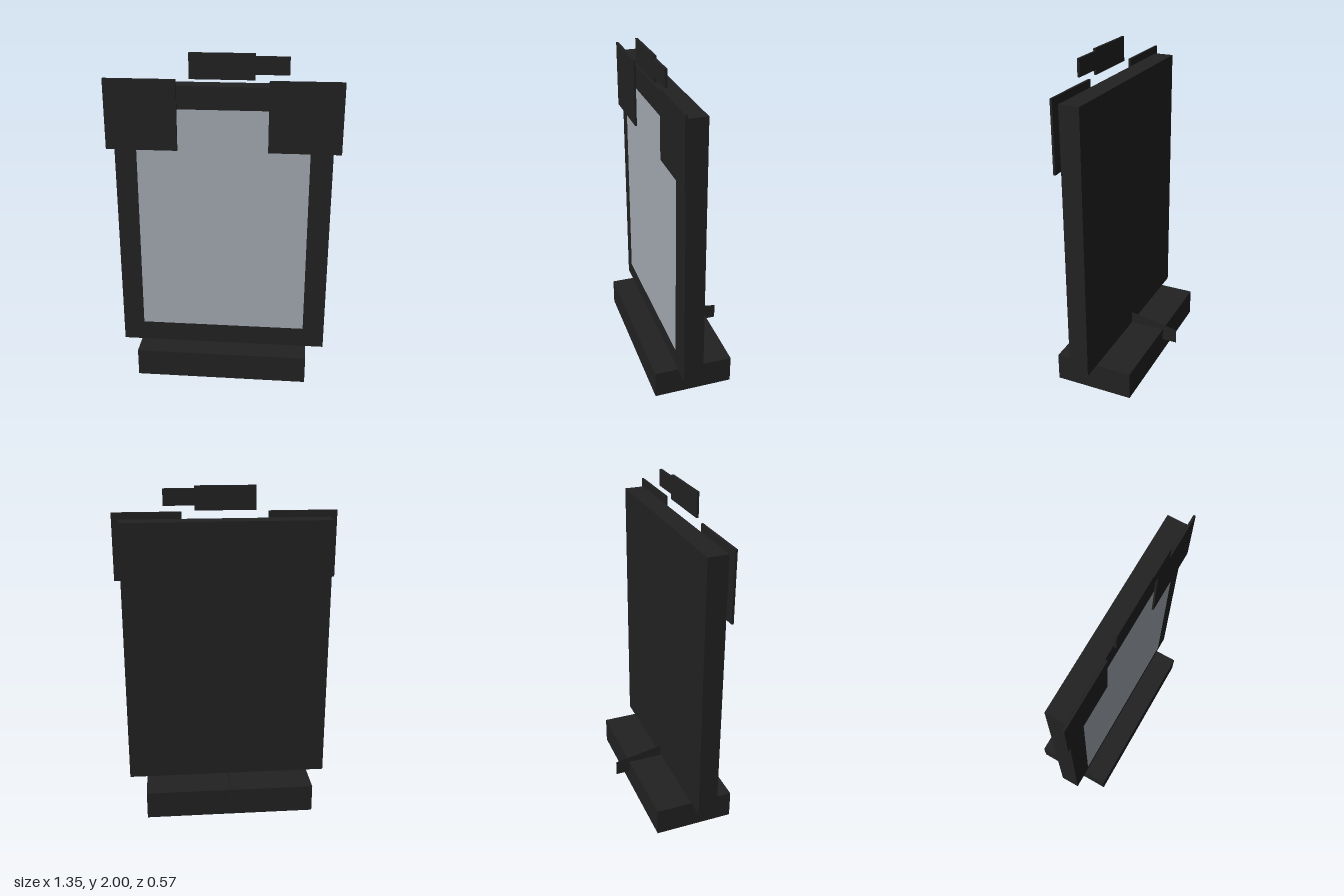
import * as THREE from 'three';

export function createModel() {
  const model = new THREE.Group();
  model.name = 'displayStand';

  const black = new THREE.MeshStandardMaterial({ color: 0x222222 });
  black.name = 'charcoal black';
  const blackSheet = new THREE.MeshStandardMaterial({ color: 0x222222, side: THREE.DoubleSide });
  blackSheet.name = 'charcoal black sheet';
  const grey = new THREE.MeshStandardMaterial({ color: 0xa3aab1, side: THREE.DoubleSide });
  grey.name = 'screen grey';

  const add = (name, geometry, material) => {
    const mesh = new THREE.Mesh(geometry, material);
    mesh.name = name;
    model.add(mesh);
    return mesh;
  };
  // Box given by its limits on each axis
  const block = (name, [x0, x1], [y0, y1], [z0, z1]) =>
    add(name, new THREE.BoxGeometry(x1 - x0, y1 - y0, z1 - z0), black)
      .position.set((x0 + x1) / 2, (y0 + y1) / 2, (z0 + z1) / 2);

  // Foot and upright panel
  block('base', [-0.52, 0.52], [0, 0.17], [-0.195, 0.287]);
  block('panel', [-0.63, 0.63], [0.17, 1.81], [0.024, 0.143]);

  // Screen face, floating just ahead of the panel
  add('screen', new THREE.PlaneGeometry(1.0, 1.38), grey).position.set(0, 0.99, 0.153);

  // Square plates over the two upper corners
  for (const side of [-1, 1]) {
    const xs = [side * 0.26, side * 0.675].sort((a, b) => a - b);
    block(side > 0 ? 'leftCornerPlate' : 'rightCornerPlate', xs, [1.44, 1.85], [0.151, 0.164]);
  }

  // Top tag with its narrower tab
  block('topTag', [-0.185, 0.182], [1.855, 2.0], [0.156, 0.17]);
  block('topTab', [0.182, 0.37], [1.885, 1.985], [0.156, 0.17]);

  // Thin rear brace: profile drawn along (-z, y), then turned to face sideways
  const profile = new THREE.Shape([
    [-0.024, 0.095], [0.287, 0.095], [0.287, 0.19], [-0.024, 0.245],
  ].map(([back, y]) => new THREE.Vector2(back, y)));
  add('rearBrace', new THREE.ShapeGeometry(profile), blackSheet).rotation.y = Math.PI / 2;

  return model;
}
